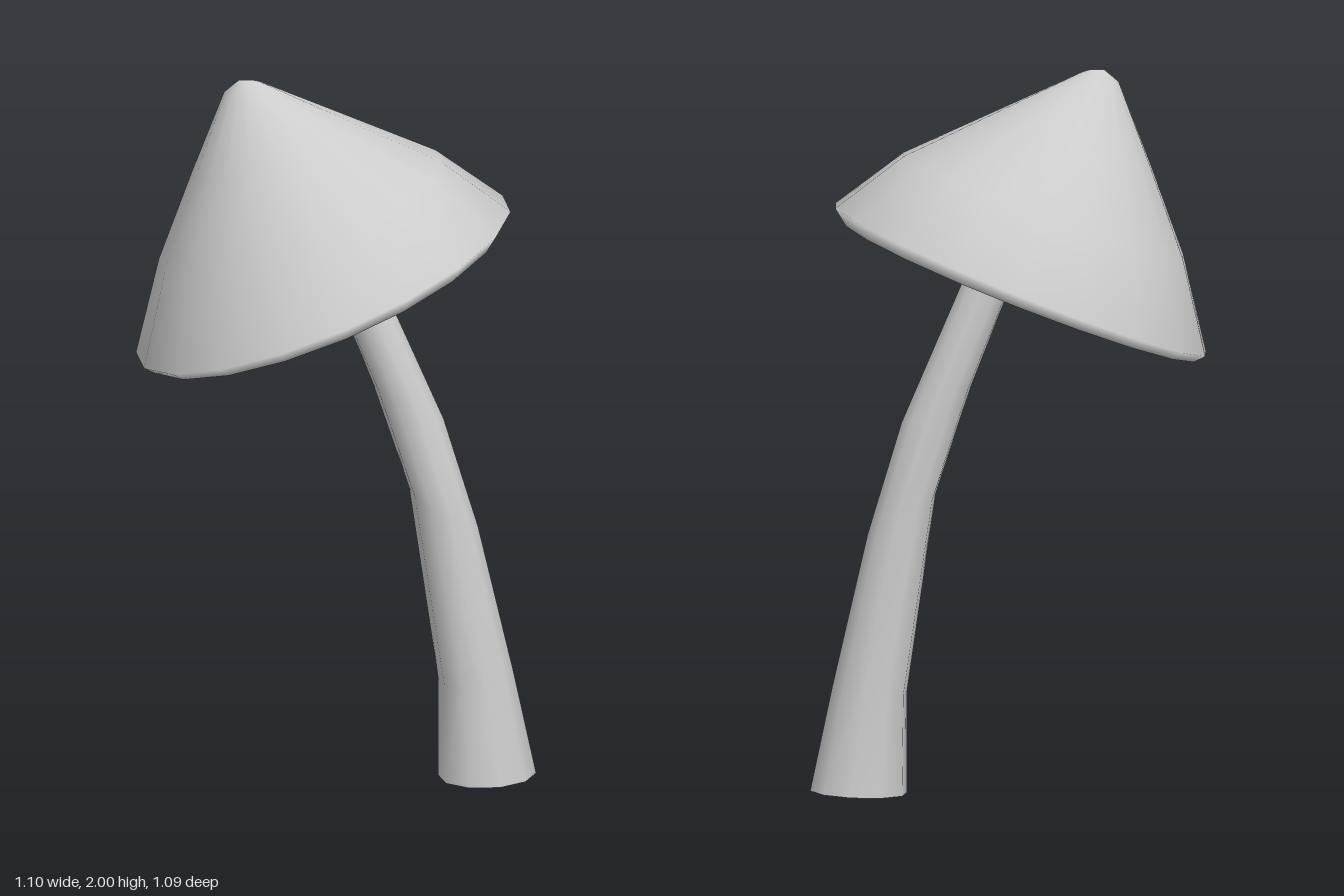
import * as THREE from 'three';

// Skin a stack of tilted elliptical rings.
// Each ring: [leftX, leftY, rightX, rightY, halfDepthZ]
function loft(rings, sides) {
  const pos = [], idx = [];
  rings.forEach(([ax, ay, bx, by, rz], r) => {
    for (let i = 0; i < sides; i++) {
      const t = (i / sides) * Math.PI * 2;
      const k = (1 + Math.cos(t)) / 2;
      pos.push(ax + (bx - ax) * k, ay + (by - ay) * k, rz * Math.sin(t));
      if (r === rings.length - 1) continue;
      const a = r * sides + i, b = r * sides + (i + 1) % sides;
      idx.push(a, a + sides, b, b, a + sides, b + sides);
    }
  });
  const geo = new THREE.BufferGeometry();
  geo.setAttribute('position', new THREE.Float32BufferAttribute(pos, 3));
  geo.setIndex(idx);
  geo.computeVertexNormals();
  return geo;
}

export function createModel() {
  const group = new THREE.Group();
  group.name = 'mushroom';
  const material = new THREE.MeshStandardMaterial({ color: 0xcccccc, side: THREE.DoubleSide });
  const add = (name, geo) => {
    const mesh = new THREE.Mesh(geo, material);
    mesh.name = name;
    group.add(mesh);
  };

  // Leaning, tapering stem, open at the foot and closed at the tip
  add('stem', loft([
    [0.28, 0.0, 0.55, 0.01, 0.133],
    [0.28, 0.28, 0.488, 0.3, 0.108],
    [0.2, 0.83, 0.39, 0.72, 0.087],
    [0.1, 1.13, 0.295, 1.03, 0.076],
    [0.0, 1.38, 0.12, 1.43, 0.068],
    [-0.06, 1.46, 0.055, 1.5, 0.055],
    [-0.02, 1.5, -0.019, 1.501, 0.001],
  ], 10));

  // Tilted cap: hollow ceiling, cavity wall, rolled lip, rim, then cone to the peak
  add('cap', loft([
    [-0.081, 1.63, -0.079, 1.631, 0.001],
    [-0.27, 1.52, 0.1, 1.66, 0.2],
    [-0.39, 1.34, 0.27, 1.6, 0.34],
    [-0.39, 1.27, 0.3, 1.535, 0.37],
    [-0.46, 1.215, 0.38, 1.55, 0.46],
    [-0.52, 1.195, 0.45, 1.58, 0.53],
    [-0.553, 1.21, 0.48, 1.63, 0.555],
    [-0.49, 1.48, 0.29, 1.77, 0.41],
    [-0.4, 1.73, 0.03, 1.887, 0.215],
    [-0.31, 1.965, -0.21, 1.995, 0.03],
    [-0.27, 1.999, -0.23, 2.0, 0.004],
    [-0.25, 2.0, -0.249, 2.0, 0.001],
  ], 18));

  return group;
}
